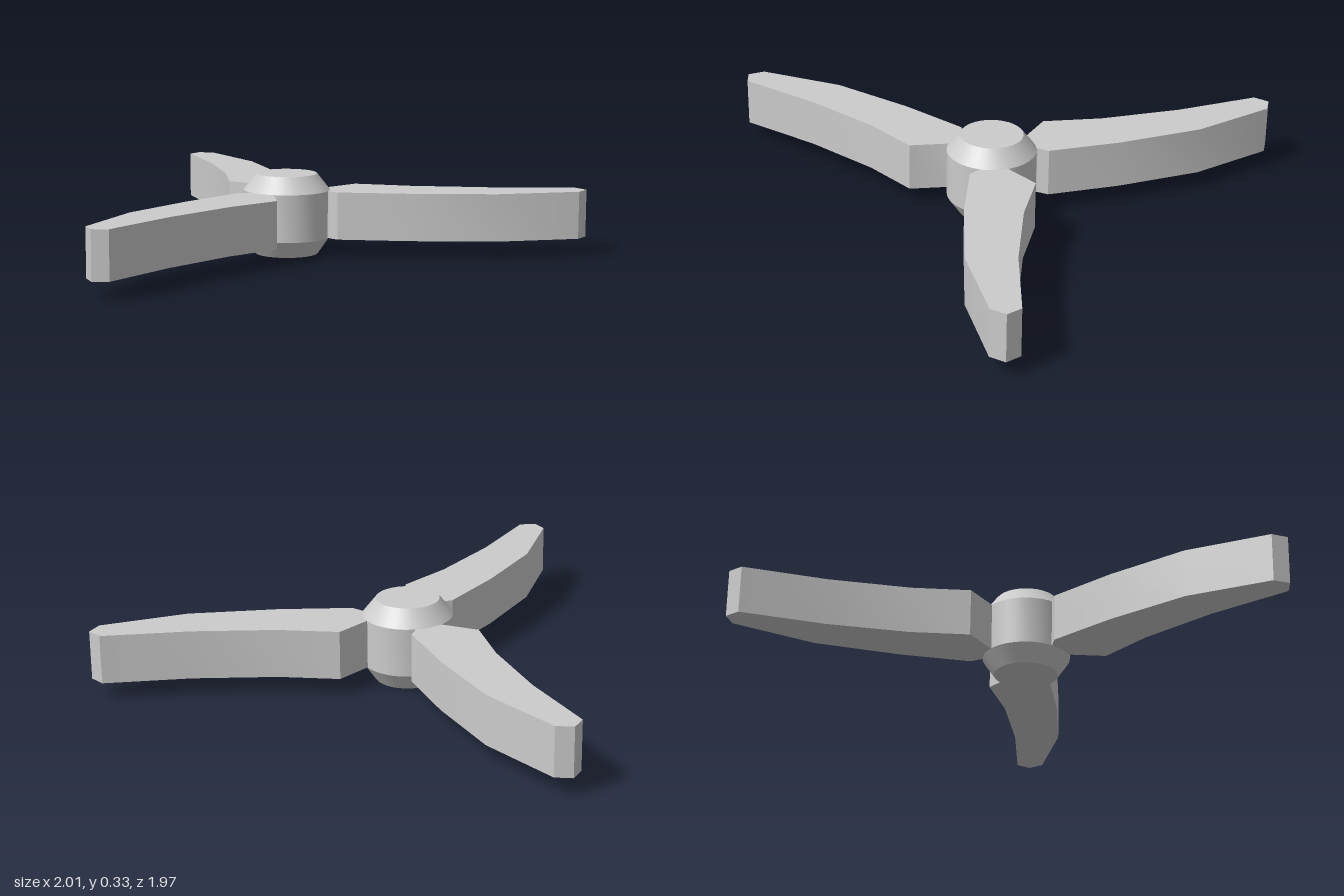
import * as THREE from 'three';
import { toCreasedNormals } from 'three/addons/utils/BufferGeometryUtils.js';

const HUB_Z = -0.247;
const BLADE_BOTTOM = 0.07;
const BLADE_TOP = 0.265;

export function createModel() {
  const group = new THREE.Group();
  const material = new THREE.MeshStandardMaterial({ color: 0xcccccc });

  // Hub: a short drum with chamfered ends
  const profile = [[0, 0], [0.13, 0], [0.178, 0.07], [0.178, 0.265], [0.125, 0.332], [0, 0.332]];
  const hubGeometry = new THREE.LatheGeometry(profile.map(([r, y]) => new THREE.Vector2(r, y)), 32);
  const hub = new THREE.Mesh(toCreasedNormals(hubGeometry, 0.5), material);
  hub.name = 'hub';
  hub.position.z = HUB_Z;
  group.add(hub);

  // Blade: curved outline in plan, measured from the hub axis, with its root inside the hub
  const outline = [
    [-0.04, 0.12], [-0.057, 0.172], [-0.093, 0.207], [-0.125, 0.5], [-0.132, 0.85], [-0.058, 1.194],
    [0, 1.232], [0.055, 1.194], [0.06, 0.85], [0.098, 0.52], [0.157, 0.287], [0.06, 0.172], [0.04, 0.12],
  ];
  const shape = new THREE.Shape(outline.map(([x, z]) => new THREE.Vector2(x, z)));
  const extruded = new THREE.ExtrudeGeometry(shape, { depth: BLADE_TOP - BLADE_BOTTOM, bevelEnabled: false });
  extruded.rotateX(Math.PI / 2).translate(0, BLADE_TOP, 0);
  const bladeGeometry = toCreasedNormals(extruded, 0.45);

  // Three blades; the rear pair is swept slightly toward the back
  const angles = { frontBlade: 0, leftBlade: 125.5, rightBlade: -125.2 };
  for (const [name, degrees] of Object.entries(angles)) {
    const blade = new THREE.Mesh(bladeGeometry, material);
    blade.name = name;
    blade.position.z = HUB_Z;
    blade.rotation.y = THREE.MathUtils.degToRad(degrees);
    group.add(blade);
  }
  return group;
}
